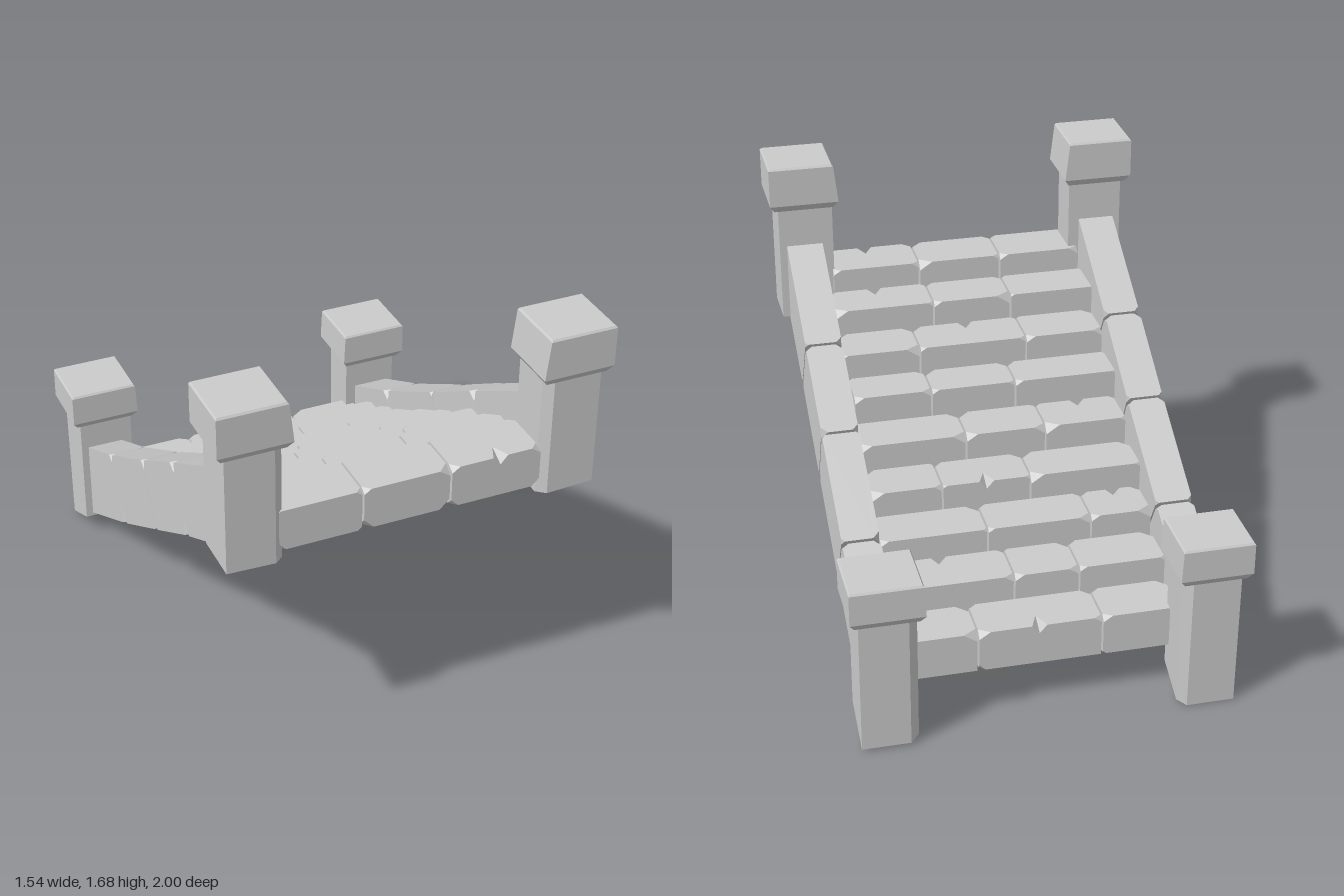
import * as THREE from 'three';
import { ConvexGeometry } from 'three/addons/geometries/ConvexGeometry.js';

const stone = new THREE.MeshStandardMaterial({ color: 0xcccccc, flatShading: true });

// Small seeded generator for worn corners
let seed = 7;
const rand = () => (seed = (seed * 16807) % 2147483647) / 2147483647;

const hull = (name, points) => {
  const mesh = new THREE.Mesh(new ConvexGeometry(points), stone);
  mesh.name = name;
  return mesh;
};

// Six-sided stone: corner index bits are x = 1, y = 2, z = 4 (bit set = positive end).
// cut(i) gives how far that corner is trimmed along its three edges.
function chippedStone(name, corners, cut) {
  const points = [];
  corners.forEach((c, i) => {
    const amounts = cut(i);
    if (!amounts) return points.push(c);
    [1, 2, 4].forEach((bit, k) => {
      const dir = corners[i ^ bit].clone().sub(c).normalize();
      points.push(c.clone().addScaledVector(dir, amounts[k]));
    });
  });
  return hull(name, points);
}

const boxCorners = (x0, x1, y0, y1, z0, z1) => Array.from({ length: 8 }, (_, i) =>
  new THREE.Vector3(i & 1 ? x1 : x0, i & 2 ? y1 : y0, i & 4 ? z1 : z0));

// Step rows, from the low back to the high front: x joints and an optional
// V-shaped chip [x, side] in the upper back (-1) or front (1) edge
const zEdges = [-0.81, -0.61, -0.41, -0.22, -0.03, 0.165, 0.345, 0.545, 0.745, 0.955];
const yBottoms = [0.19, 0.295, 0.395, 0.5, 0.61, 0.725, 0.83, 0.935, 1.03];
const rows = [
  { x: [-0.55, -0.24, 0.25, 0.55], chip: [0.01, -1] },
  { x: [-0.55, -0.2, 0.06, 0.56], chip: [0.32, 1] },
  { x: [-0.55, -0.3, 0.12, 0.55], chip: [-0.44, 1] },
  { x: [-0.56, -0.1, 0.26, 0.55], chip: [0.08, -1] },
  { x: [-0.55, -0.21, 0.12, 0.56], chip: [-0.39, 1] },
  { x: [-0.57, -0.13, 0.22, 0.54] },
  { x: [-0.55, -0.22, 0.23, 0.55], chip: [0, 1] },
  { x: [-0.57, -0.2, 0.13, 0.55], chip: [0.35, 1] },
  { x: [-0.55, -0.2, 0.15, 0.52], chip: [0.35, 1] },
];

function buildSteps() {
  const steps = new THREE.Group();
  steps.name = 'steps';
  rows.forEach(({ x, chip }, r) => {
    const row = new THREE.Group();
    row.name = `stepRow${r + 1}`;
    for (let b = 0; b < 3; b++) {
      const x0 = x[b] + 0.004, x1 = x[b + 1] - 0.004;
      // Trim per corner: bevelled upper joint edges, worn back edge, chipped lower front
      const trims = Array.from({ length: 8 }, (_, i) => {
        const top = i & 2, front = i & 4;
        const s = 0.012 + 0.035 * rand();
        if (top) return front ? [s, s * 0.7, s] : [s * 1.2, s * 0.8, s * 0.8];
        return front ? [s, s, s] : rand() < 0.5 ? [s * 0.6, s * 0.6, s * 0.6] : null;
      });
      const y0 = yBottoms[r], y1 = y0 + 0.17;
      const z0 = zEdges[r], z1 = zEdges[r + 1] - (r === 7 ? 0.008 : 0.001);
      const split = chip && chip[0] > x0 && chip[0] < x1;
      const spans = split ? [[x0, chip[0]], [chip[0], x1]] : [[x0, x1]];
      spans.forEach(([a, c], part) => {
        // Both halves lose a corner at the split, leaving a V-shaped notch
        const inner = split ? (part === 0 ? 1 : 0) : -1;
        row.add(chippedStone('stepBlock', boxCorners(a, c, y0, y1, z0, z1), (i) => {
          if ((i & 1) !== inner) return trims[i];
          const onChip = (i & 2) && !!(i & 4) === (chip[1] > 0);
          return onChip ? [0.03, 0.035, 0.07] : null;
        }));
      });
    }
    steps.add(row);
  });
  return steps;
}

// Rail joints as [z, y] along the top and bottom of the sloping side wall
const railTop = [[-0.78, 0.445], [-0.45, 0.61], [-0.02, 0.855], [0.335, 1.07], [0.775, 1.325]];
const railBottom = [[-0.78, 0.1], [-0.305, 0.36], [0.1, 0.6], [0.475, 0.825], [0.775, 0.99]];

function buildRail(side) {
  const rail = new THREE.Group();
  rail.name = side > 0 ? 'leftRail' : 'rightRail';
  for (let s = 0; s < 4; s++) {
    const corners = Array.from({ length: 8 }, (_, i) => {
      const line = i & 2 ? railTop : railBottom;
      const end = i & 4 ? 1 : 0;
      const [z, y] = line[s + end];
      const gap = end ? -0.005 : 0.005;
      const x = (i & 1) === (side > 0 ? 1 : 0) ? 0.705 : 0.555;
      return new THREE.Vector3(side * x, y + gap * 0.5, z + gap);
    });
    rail.add(chippedStone('railStone', corners, (i) => {
      const atPost = (s === 0 && !(i & 4)) || (s === 3 && (i & 4));
      const c = 0.012 + 0.016 * rand();
      return atPost ? null : [c, c * (i & 2 ? 1.5 : 2.5), c];
    }));
  }
  return rail;
}

// Post with a chamfered inner corner, plus an overhanging cap bevelled underneath
function buildPost(side, end) {
  const post = new THREE.Group();
  const high = end > 0;
  post.name = `${high ? 'high' : 'low'}${side > 0 ? 'Left' : 'Right'}Post`;
  const V = (x, y, z) => new THREE.Vector3(side * x, y, end * z);
  const section = [[0.51, 0.77], [0.735, 0.77], [0.735, 0.97], [0.545, 0.97], [0.51, 0.94]];
  const floor = side > 0 ? 0.01 : 0;
  const shaft = [];
  for (const [x, z] of section) {
    // The low posts stand on the slope; the high ones have a level underside
    const foot = high ? 1 - (0.735 - x) * 0.04 : floor + (0.97 - z) * 0.45;
    shaft.push(V(x, foot, z - (high || z < 0.9 ? 0 : 0.01)));
    shaft.push(V(x, high ? 1.5 : 0.59, z));
  }
  post.add(hull('postShaft', shaft));

  const [low, top] = high ? [1.485, 1.68] : [0.57, 0.735];
  const lean = high ? 0.018 : 0.006;
  const rings = [[low, 0.02, 0], [low + 0.03, 0, 0], [top - 0.008, 0, lean], [top, 0.006, lean]];
  const cap = [];
  for (const [y, inset, tilt] of rings) {
    for (const x of [0.485 + inset + tilt, 0.77 - inset]) {
      for (const z of [0.74 + inset, 1 - inset]) cap.push(V(x, y, z));
    }
  }
  post.add(hull('postCap', cap));
  return post;
}

export function createModel() {
  const model = new THREE.Group();
  model.name = 'stoneStairs';
  model.add(buildSteps());
  for (const side of [-1, 1]) {
    model.add(buildRail(side));
    for (const end of [-1, 1]) model.add(buildPost(side, end));
  }
  return model;
}
